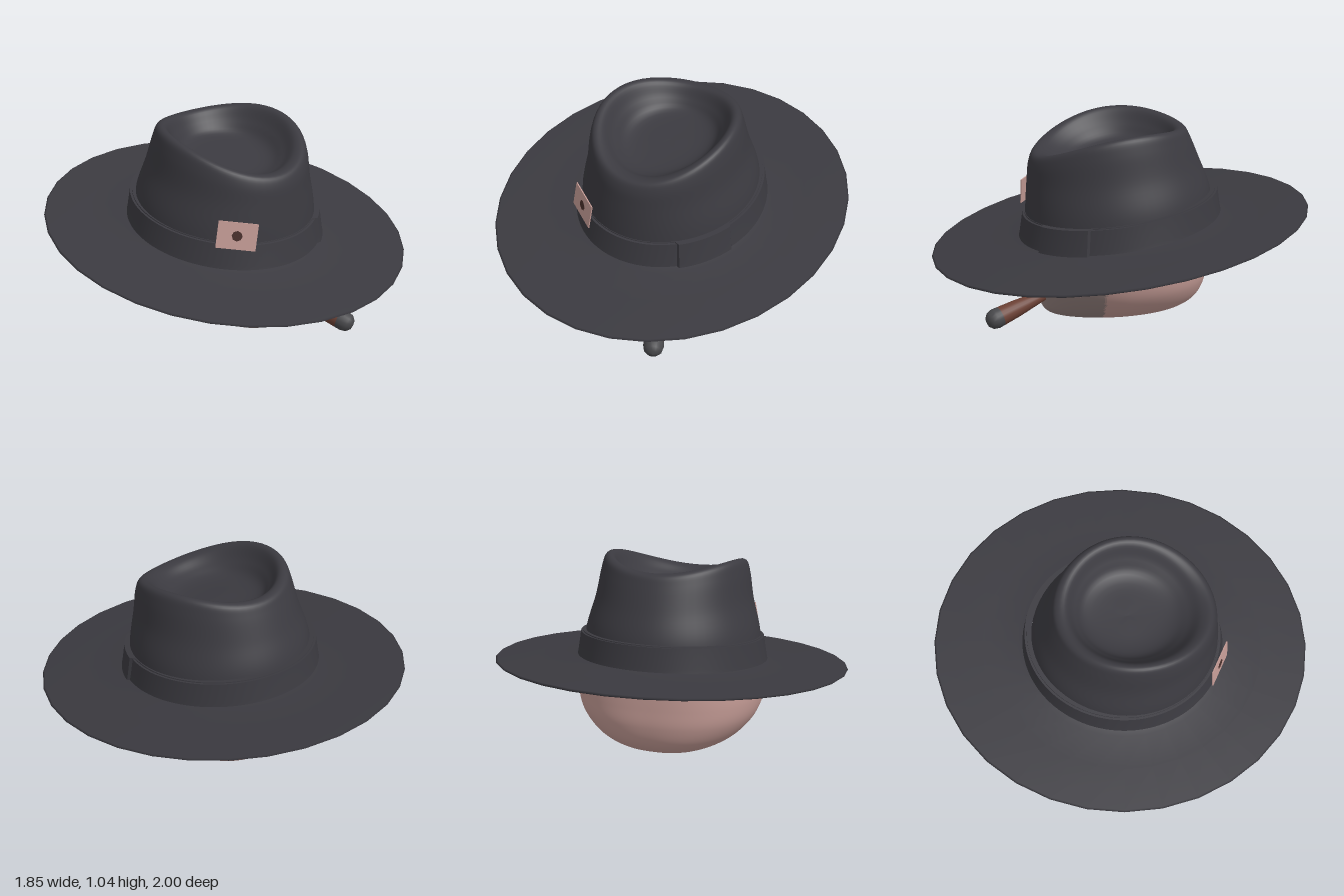
import * as THREE from 'three';
import { toCreasedNormals } from 'three/addons/utils/BufferGeometryUtils.js';

const mat = (name, color, side = THREE.FrontSide) => {
  const m = new THREE.MeshStandardMaterial({ color, side });
  m.name = name;
  return m;
};
const mats = {
  felt: mat('charcoal felt', 0x3b3a40),
  skin: mat('skin', 0xc59c96),
  stubble: mat('stubble', 0x93807d),
  cigar: mat('cigar brown', 0x6b4034),
  ash: mat('ash grey', 0x48484b),
  spot: mat('dark spot', 0x4a302c),
};

const smooth = THREE.MathUtils.smoothstep;
const hatPlane = (z) => 0.463 - 0.1275 * z; // the hat tips down at the front

// Surface of closed rings; f(angle, t) gives a point, angle 0 is the front
function rings(nu, nv, f) {
  const pos = [], idx = [];
  for (let j = 0; j <= nv; j++)
    for (let i = 0; i < nu; i++) pos.push(...f((i / nu) * Math.PI * 2, j / nv));
  for (let j = 0; j < nv; j++)
    for (let i = 0; i < nu; i++) {
      const a = j * nu + i, b = j * nu + ((i + 1) % nu), c = a + nu, d = b + nu;
      idx.push(a, b, d, a, d, c);
    }
  const g = new THREE.BufferGeometry();
  g.setAttribute('position', new THREE.Float32BufferAttribute(pos, 3));
  g.setIndex(idx);
  g.computeVertexNormals();
  return g;
}

// Spline through a column of section rows, sampled at t
function sampler(rows) {
  const cols = rows[0].map((_, k) => new THREE.CatmullRomCurve3(
    rows.map((r, i) => new THREE.Vector3(r[k], i, 0)), false, 'catmullrom', 0.5));
  return (t) => cols.map((c) => c.getPoint(t).x);
}

// Crown rows: half width, front z, back z, front y, back y, side y
function crownGeometry() {
  const at = sampler([
    [0.475, 0.51, -0.5, 0.41, 0.53, 0.47],
    [0.455, 0.5, -0.475, 0.6, 0.69, 0.65],
    [0.412, 0.49, -0.42, 0.74, 0.83, 0.81],
    [0.388, 0.48, -0.37, 0.83, 0.95, 0.95],
    [0.366, 0.455, -0.34, 0.878, 1.0, 1.018],
    [0.325, 0.4, -0.29, 0.878, 1.0, 1.018],
    [0.275, 0.33, -0.245, 0.845, 0.94, 0.94],
    [0.2, 0.23, -0.18, 0.83, 0.89, 0.87],
    [0, 0.02, 0.02, 0.86, 0.86, 0.86],
  ]);
  return rings(64, 48, (a, t) => {
    const [rx, zf, zb, yf, yb, ys] = at(t);
    const s = Math.sin(a), c = Math.cos(a), mid = (yf + yb) / 2;
    return [rx * s, mid + ((yf - yb) / 2) * c + (ys - mid) * s * s,
      (zf + zb) / 2 + ((zf - zb) / 2) * c];
  });
}

// Brim rows: half width, half depth, height above the hat plane
function brimGeometry() {
  const rows = [[0.44, 0.46, -0.012], [0.7, 0.75, -0.01], [0.915, 0.99, -0.008],
    [0.925, 1.0, 0], [0.915, 0.99, 0.006], [0.7, 0.75, 0.01], [0.53, 0.57, 0.018], [0.46, 0.5, 0.035]];
  return rings(32, rows.length - 1, (a, t) => {
    const [rx, rz, h] = rows[Math.round(t * (rows.length - 1))];
    const z = rz * Math.cos(a);
    return [rx * Math.sin(a), hatPlane(z) + h, z];
  });
}

// Ribbon around the crown; extra(angle) thickens it
function ribbonGeometry(h0, h1, extra) {
  const rows = [[0.46, h0], [0.5, h0], [0.496, h0 + 0.02], [0.48, h1], [0.445, h1]];
  const g = rings(160, 4, (a, t) => {
    const k = Math.round(t * 4), [r, h] = rows[k];
    const e = k > 0 && k < 4 ? extra(a) : 0;
    const z = (r + 0.037 + e) * Math.cos(a);
    return [(r + e) * Math.sin(a), hatPlane(z) + h, z];
  });
  return toCreasedNormals(g, 0.6);
}

// Head rows: front y, back y, half width, front z, back z, narrowing at the front
function headGeometry() {
  const at = sampler([
    [0.004, 0.02, 0, 0.14, 0.12, 0],
    [0.0, 0.025, 0.1, 0.32, -0.12, 0.1],
    [0.012, 0.035, 0.2, 0.395, -0.26, 0.14],
    [0.05, 0.07, 0.3, 0.43, -0.355, 0.14],
    [0.11, 0.135, 0.39, 0.442, -0.42, 0.12],
    [0.2, 0.23, 0.46, 0.455, -0.452, 0.08],
    [0.3, 0.33, 0.49, 0.468, -0.458, 0.03],
    [0.38, 0.45, 0.49, 0.475, -0.458, 0],
    [0.45, 0.54, 0.465, 0.47, -0.45, 0],
  ]);
  const pw = (v) => Math.sign(v) * Math.abs(v) ** 0.82;
  const g = rings(160, 110, (a, t) => {
    const [yf, yb, rx, zf, zb, n] = at(t);
    const c = pw(Math.cos(a)), s = pw(Math.sin(a));
    return [rx * s * (1 - n * Math.max(0, c)), (yf + yb) / 2 + ((yf - yb) / 2) * c,
      (zf + zb) / 2 + ((zf - zb) / 2) * c];
  });
  // Sort faces into bare skin and stubble (beard, sideburns and hairline)
  const p = g.attributes.position, idx = g.index.array, bare = [], rough = [];
  for (let i = 0; i < idx.length; i += 3) {
    const mean = (get) => (get(idx[i]) + get(idx[i + 1]) + get(idx[i + 2])) / 3;
    const x = Math.abs(mean((k) => p.getX(k)));
    const y = mean((k) => p.getY(k)), z = mean((k) => p.getZ(k));
    const beardTop = 0.265 - 0.045 * smooth(x, 0.14, 0.26) + 0.07 * (1 - smooth(z, 0.2, 0.27));
    const isRough = z > 0.13 ? z < 0.205 || y < beardTop : y > hatPlane(z) - 0.055;
    (isRough ? rough : bare).push(idx[i], idx[i + 1], idx[i + 2]);
  }
  g.setIndex([...bare, ...rough]);
  g.addGroup(0, bare.length, 0);
  g.addGroup(bare.length, rough.length, 1);
  return g;
}

export function createModel() {
  const model = new THREE.Group();
  model.name = 'headWithHat';
  const add = (name, geometry, material, parent = model) => {
    const m = new THREE.Mesh(geometry, material);
    m.name = name;
    parent.add(m);
    return m;
  };
  const group = (name) => {
    const g = new THREE.Group();
    g.name = name;
    model.add(g);
    return g;
  };

  // Hat
  const hat = group('hat');
  add('crown', crownGeometry(), mats.felt, hat);
  add('brim', brimGeometry(), mats.felt, hat);
  add('hatBand', ribbonGeometry(0.03, 0.155, () => 0), mats.felt, hat);
  add('bandOverlap', ribbonGeometry(0.027, 0.16, (a) =>
    (a > 0.58 && a < 1.14 ? 0.013 : -0.012)), mats.felt, hat);

  // Card tucked into the band
  const card = group('card');
  card.position.set(-0.277, 0.625, 0.452);
  card.rotation.set(-0.12, -0.62, -0.13, 'YXZ');
  add('cardSheet', new THREE.BoxGeometry(0.2, 0.14, 0.006), mats.skin, card);
  const spot = add('cardSpot', new THREE.CylinderGeometry(0.027, 0.027, 0.009, 8), mats.spot, card);
  spot.rotation.x = Math.PI / 2;

  // Head and nose
  add('head', headGeometry(), [mats.skin, mats.stubble]);
  const nose = group('nose');
  const tip = add('noseTip', new THREE.SphereGeometry(1, 24, 16), mats.skin, nose);
  tip.scale.set(0.06, 0.055, 0.065);
  tip.position.set(0, 0.305, 0.48);
  const bridge = add('noseBridge', new THREE.SphereGeometry(1, 24, 16), mats.skin, nose);
  bridge.scale.set(0.045, 0.1, 0.04);
  bridge.position.set(0, 0.36, 0.472);

  // Corner of the mouth
  const mouth = add('mouth', new THREE.SphereGeometry(1, 16, 8), mats.ash);
  mouth.scale.set(0.055, 0.012, 0.012);
  mouth.position.set(0.105, 0.155, 0.437);
  mouth.rotation.y = 0.1;

  // Cigar, pointing from the mouth to its ash tip
  const from = new THREE.Vector3(0.14, 0.15, 0.405), to = new THREE.Vector3(0.257, 0.07, 0.685);
  const length = from.distanceTo(to);
  const cigar = group('cigar');
  cigar.position.copy(from);
  cigar.quaternion.setFromUnitVectors(new THREE.Vector3(0, 1, 0), to.clone().sub(from).normalize());
  const v = (x, y) => new THREE.Vector2(x, y);
  add('cigarBody', new THREE.LatheGeometry(
    [v(0, 0), v(0.02, 0.003), v(0.027, 0.02), v(0.045, length * 0.6), v(0.051, length - 0.03)], 20), mats.cigar, cigar);
  add('cigarAsh', new THREE.LatheGeometry(
    [v(0.051, length - 0.03), v(0.053, length), v(0.046, length + 0.028), v(0.027, length + 0.046), v(0, length + 0.052)], 20),
    mats.ash, cigar);
  return model;
}
